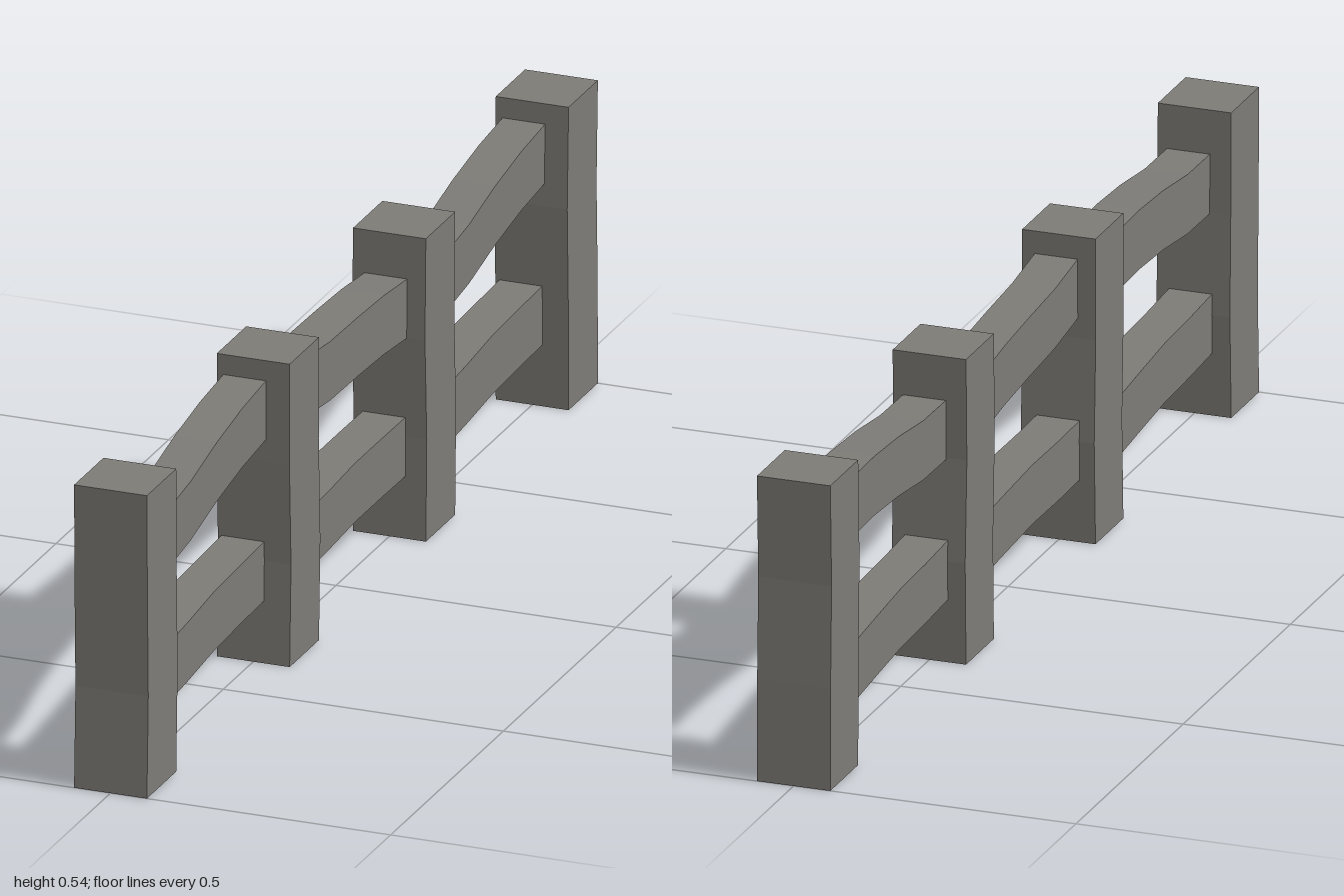
import * as THREE from 'three';

// Box along one axis whose cross-section centre is shifted by a rule at each ring
function bentBox(size, segments, bend) {
  const geo = new THREE.BoxGeometry(size[0], size[1], size[2], 1, segments[0], segments[1]);
  const p = geo.attributes.position;
  const v = new THREE.Vector3();
  for (let i = 0; i < p.count; i++) {
    v.fromBufferAttribute(p, i);
    bend(v);
    p.setXYZ(i, v.x, v.y, v.z);
  }
  geo.computeVertexNormals();
  return geo;
}

export function createModel() {
  const wood = new THREE.MeshStandardMaterial({ color: 0x7d7b76, flatShading: true });
  wood.name = 'weatheredWood';
  const fence = new THREE.Group();
  fence.name = 'fence';

  const add = (name, geo) => {
    const mesh = new THREE.Mesh(geo, wood);
    mesh.name = name;
    fence.add(mesh);
  };

  // Square posts with a slight kink at two heights
  const H = 0.54, W = 0.13;
  const posts = [
    { z: 0.935, kink: [0, -0.006, -0.002, 0] },
    { z: 0.302, kink: [0, -0.006, 0.001, 0] },
    { z: -0.302, kink: [0, -0.004, 0.004, 0] },
    { z: -0.935, kink: [0, 0.001, 0.006, 0] },
  ];
  posts.forEach(({ z, kink }, n) => {
    add(`post${n + 1}`, bentBox([W, H, W], [3, 1], (v) => {
      const k = Math.round((v.y / H + 0.5) * 3);
      v.y += H / 2;
      v.z += z + kink[k];
    }));
  });

  // Wavy rails spanning each bay; x and y run from the front end to the back end
  const rail = (name, z, x, ys) => {
    const len = z[0] - z[1];
    add(name, bentBox([0.076, 0.105, len], [1, 4], (v) => {
      const t = 0.5 - v.z / len;
      v.x += THREE.MathUtils.lerp(x[0], x[1], t);
      v.y += ys[Math.round(t * 4)];
      v.z += (z[0] + z[1]) / 2;
    }));
  };
  const rise = [0.409, 0.417, 0.436, 0.448, 0.452];
  const fall = [0.449, 0.435, 0.43, 0.423, 0.41];
  const level = [0.164, 0.165, 0.169, 0.166, 0.162];
  const bays = [
    { z: [0.88, 0.355], x: [0.011, -0.016], upper: rise },
    { z: [0.25, -0.25], x: [0.005, -0.006], upper: fall },
    { z: [-0.355, -0.88], x: [0.01, -0.015], upper: rise },
  ];
  bays.forEach(({ z, x, upper }, n) => {
    rail(`upperRail${n + 1}`, z, x, upper);
    rail(`lowerRail${n + 1}`, z, x.map((a) => a - 0.005), level);
  });
  return fence;
}
